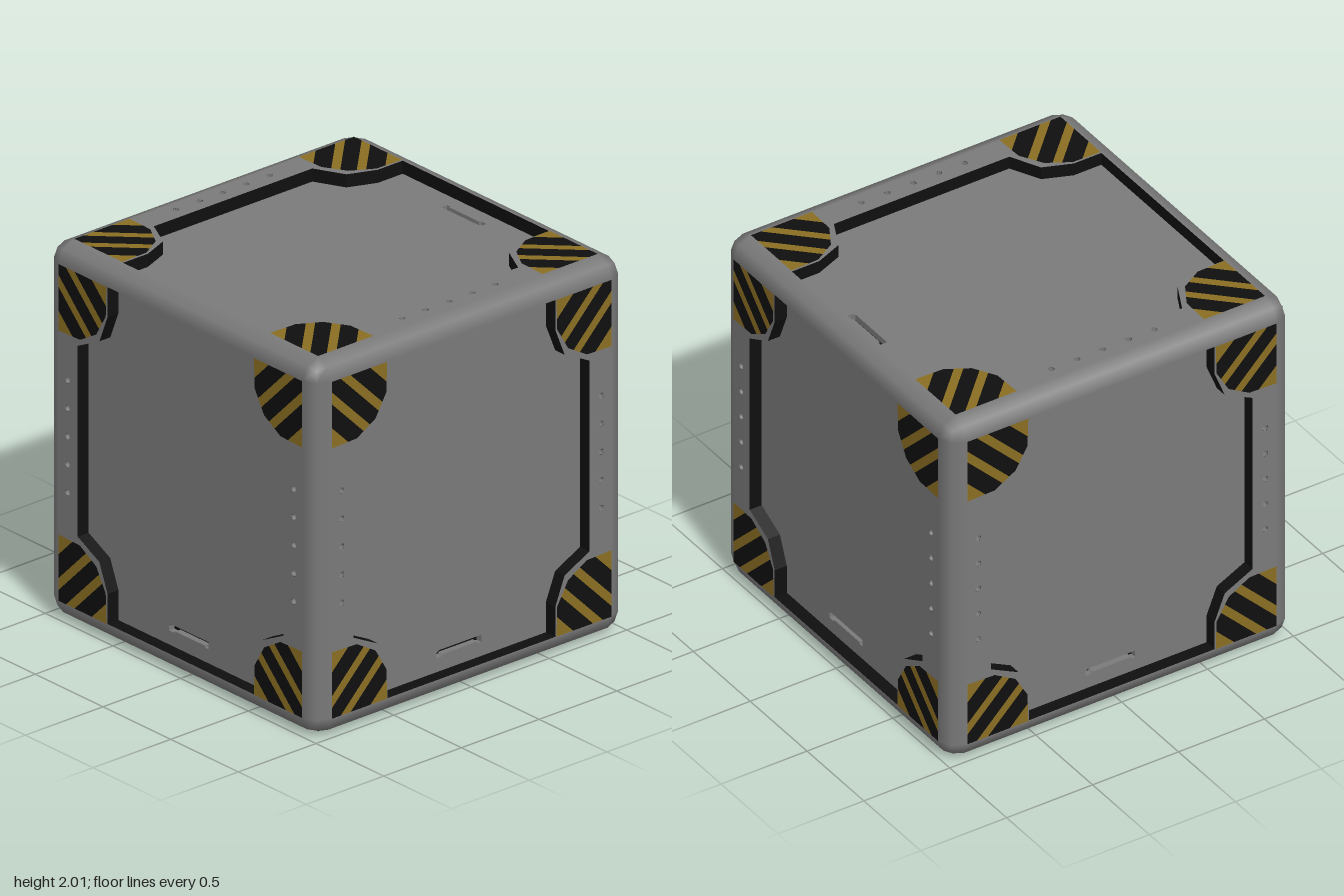
import * as THREE from 'three';
import { RoundedBoxGeometry } from 'three/addons/geometries/RoundedBoxGeometry.js';

const EDGE = 0.9;     // flat part of each face reaches this far from its centre
const RECESS = 0.07;  // depth of the sunken panels
const SLOT = 0.035;   // depth of the handle slot and the light sockets

const material = (name, color, side = THREE.FrontSide) => {
  const m = new THREE.MeshStandardMaterial({ color, side });
  m.name = name;
  return m;
};

const vectors = (points) => points.map(([x, y]) => new THREE.Vector2(x, y));

// Keep the part of a convex polygon where sign * (diagonal offset - limit) >= 0
function clipDiagonal(points, limit, sign) {
  const dist = ([a, b]) => sign * ((a - b) / Math.SQRT2 - limit);
  const out = [];
  points.forEach((p, i) => {
    const q = points[(i + 1) % points.length];
    const dp = dist(p), dq = dist(q);
    if (dp >= 0) out.push(p);
    if (dp * dq < 0) {
      const t = dp / (dp - dq);
      out.push([p[0] + (q[0] - p[0]) * t, p[1] + (q[1] - p[1]) * t]);
    }
  });
  return out;
}

export function createModel() {
  const grey = material('grey metal', 0x7a7a7a);
  const greyInside = material('grey socket', 0x7a7a7a, THREE.DoubleSide);
  const black = material('black', 0x0f0f0f, THREE.DoubleSide);
  const yellow = material('hazard yellow', 0x8a6e22);
  const blue = material('light blue', 0x4c94c0);

  const add = (parent, name, geometry, mat, x = 0, y = 0, z = 0) => {
    const mesh = new THREE.Mesh(geometry, mat);
    mesh.name = name;
    mesh.position.set(x, y, z);
    parent.add(mesh);
    return mesh;
  };

  // Half outline of the recess, bottom to top on the +u side
  const recessSide = [
    [0.54, -EDGE], [0.54, -0.74], [0.6, -0.59], [0.76, -0.51],
    [0.76, 0.51], [0.6, 0.59], [0.54, 0.74], [0.54, EDGE],
  ];
  const lightRows = [-0.3, -0.15, 0, 0.15, 0.3];
  const extrude = (shape, depth) =>
    new THREE.ExtrudeGeometry(shape, { depth, bevelEnabled: false, curveSegments: 8 });

  // Raised frame strip with light sockets, black on its inner walls
  function stripGeometry(side) {
    const shape = new THREE.Shape(vectors(
      [[EDGE, -EDGE], ...recessSide, [EDGE, EDGE]].map(([x, y]) => [side * x, y])));
    lightRows.forEach((v) => {
      shape.holes.push(new THREE.Path().absarc(side * 0.835, v, 0.016, 0, Math.PI * 2, true));
    });
    return extrude(shape, RECESS);
  }
  const strips = [-1, 1].map(stripGeometry);

  // Sunken panel with a handle slot near its lower edge
  const panelShape = new THREE.Shape(vectors(
    [...recessSide, ...recessSide.map(([x, y]) => [-x, -y])]));
  panelShape.holes.push(new THREE.Path(vectors([
    [-0.165, -0.825], [-0.165, -0.8], [-0.15, -0.787], [0.125, -0.787],
    [0.125, -0.825], [0.1, -0.825], [0.1, -0.815], [-0.12, -0.815], [-0.13, -0.825],
  ])));
  const panel = extrude(panelShape, SLOT);
  const slotFloor = new THREE.PlaneGeometry(0.34, 0.06);
  const endWall = new THREE.PlaneGeometry(1.08, RECESS).rotateX(Math.PI / 2);
  const socket = new THREE.CylinderGeometry(0.0155, 0.0155, SLOT, 16, 1, true).rotateX(Math.PI / 2);
  const lamp = new THREE.CircleGeometry(0.0155, 16);

  // Hazard patch, measured inward from the corner, cut into diagonal bands
  const patch = [[0, 0], [0.355, 0], [0.35, 0.16], [0.28, 0.28], [0.16, 0.35], [0, 0.355]];
  const cuts = [-0.26, -0.175, -0.085, -0.04, 0.04, 0.085, 0.175, 0.26];

  function addHazardPatch(face, su, sv) {
    for (let i = 0; i < cuts.length - 1; i++) {
      const band = clipDiagonal(clipDiagonal(patch, cuts[i], 1), cuts[i + 1], -1);
      const shape = new THREE.Shape(vectors(
        band.map(([a, b]) => [su * (EDGE - a), sv * (EDGE - b)])));
      add(face, 'hazardStripe', new THREE.ShapeGeometry(shape), i % 2 ? black : yellow, 0, 0, 1.003);
    }
  }

  function createFace(name) {
    const face = new THREE.Group();
    face.name = name;
    add(face, 'sunkenPanel', panel, grey, 0, 0, 1 - RECESS - SLOT);
    add(face, 'handleSlot', slotFloor, black, -0.02, -0.805, 1 - RECESS - SLOT + 0.001);
    [-1, 1].forEach((s, i) => {
      add(face, 'frameStrip', strips[i], [grey, black], 0, 0, 1 - RECESS);
      add(face, 'recessEndWall', endWall, black, 0, s * EDGE, 1 - RECESS / 2);
      lightRows.forEach((v) => {
        add(face, 'lightSocket', socket, greyInside, s * 0.835, v, 1 - SLOT / 2);
        add(face, 'light', lamp, blue, s * 0.835, v, 1 - SLOT);
      });
      addHazardPatch(face, s, 1);
      addHazardPatch(face, s, -1);
    });
    return face;
  }

  // Rounded edges and corners: a rounded box without its six flat squares
  function bevelGeometry() {
    const box = new RoundedBoxGeometry(2, 2, 2, 1, 1 - EDGE);
    const src = box.index ? box.toNonIndexed() : box;
    const p = src.attributes.position.array, n = src.attributes.normal.array;
    const pos = [], nor = [];
    for (let i = 0; i < p.length; i += 9) {
      const flat = [0, 1, 2].some((k) => [1, -1].some((s) =>
        [0, 3, 6].every((j) => s * p[i + j + k] > 0.999)));
      if (flat) continue;
      pos.push(...p.slice(i, i + 9));
      nor.push(...n.slice(i, i + 9));
    }
    const g = new THREE.BufferGeometry();
    g.setAttribute('position', new THREE.Float32BufferAttribute(pos, 3));
    g.setAttribute('normal', new THREE.Float32BufferAttribute(nor, 3));
    return g;
  }

  const crate = new THREE.Group();
  crate.name = 'crate';
  const body = new THREE.Group();
  body.name = 'body';
  body.position.y = 1;
  crate.add(body);
  add(body, 'bevelledEdges', bevelGeometry(), grey);

  // Six faces, each given by its right and up directions
  const sides = [
    ['frontFace', [1, 0, 0], [0, 1, 0]],
    ['leftFace', [0, 0, -1], [0, 1, 0]],
    ['backFace', [-1, 0, 0], [0, 1, 0]],
    ['rightFace', [0, 0, 1], [0, 1, 0]],
    ['topFace', [0, 0, -1], [-1, 0, 0]],
    ['bottomFace', [0, 0, -1], [1, 0, 0]],
  ];
  sides.forEach(([name, right, up]) => {
    const u = new THREE.Vector3(...right), v = new THREE.Vector3(...up);
    const face = createFace(name);
    face.quaternion.setFromRotationMatrix(
      new THREE.Matrix4().makeBasis(u, v, u.clone().cross(v)));
    body.add(face);
  });
  return crate;
}
